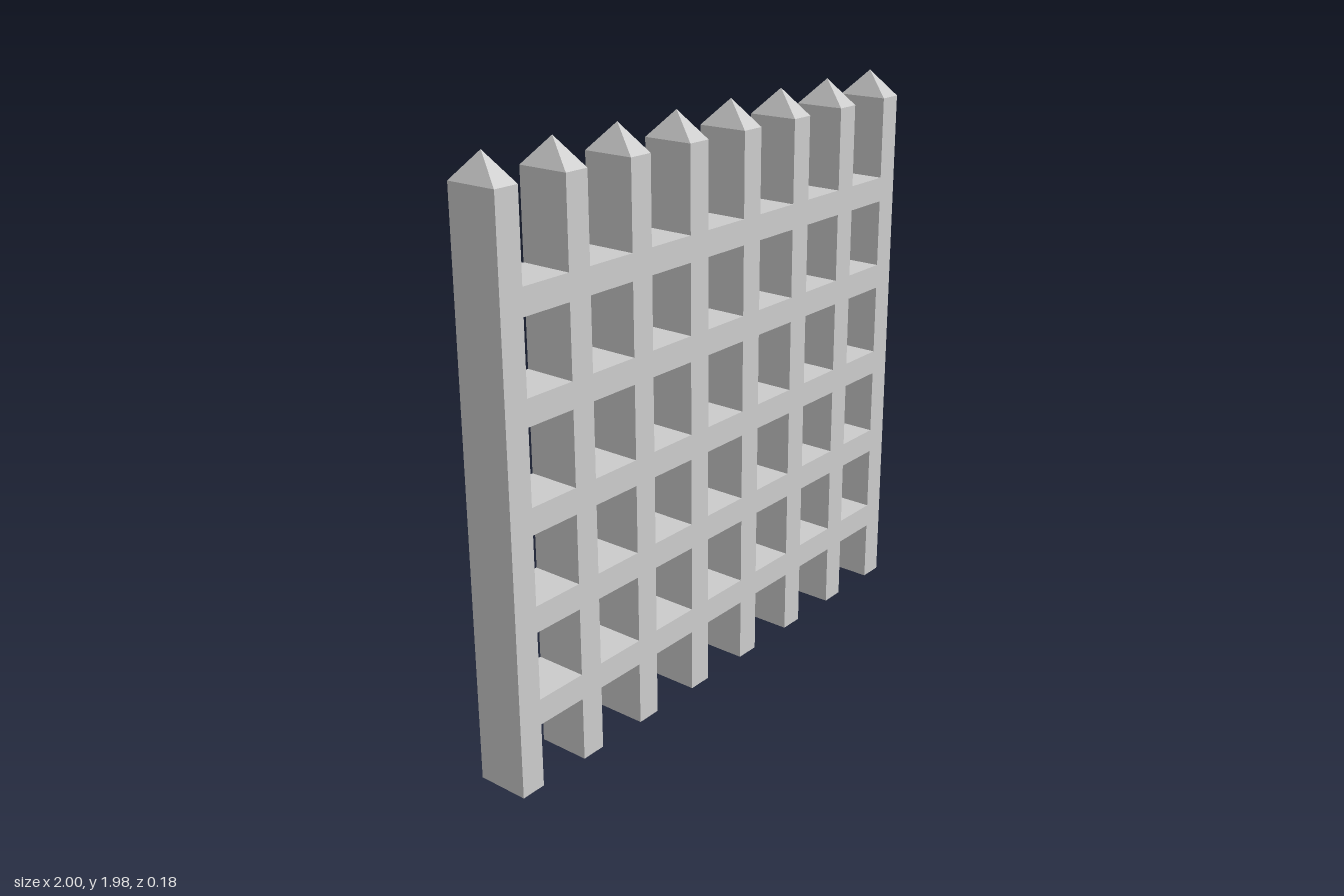
import * as THREE from 'three';

const POSTS = 8, POST_W = 0.088, DEPTH = 0.18;
const SHOULDER = 1.887, TIP = 1.976;
const RAIL_H = 0.087, RAIL_Y = [0.262, 0.578, 0.897, 1.233, 1.559];
const PITCH = (2 - POST_W) / (POSTS - 1);

export function createModel() {
  const group = new THREE.Group();
  group.name = 'portcullis';
  const material = new THREE.MeshStandardMaterial({ color: 0xcccccc, flatShading: true });

  const add = (parent, name, geometry, x, y) => {
    const mesh = new THREE.Mesh(geometry, material);
    mesh.name = name;
    mesh.position.set(x, y, 0);
    parent.add(mesh);
  };

  // Four-sided pyramid fitted to the post's rectangular section, open underneath
  const spikeGeo = new THREE.ConeGeometry(Math.SQRT1_2, TIP - SHOULDER, 4, 1, true);
  spikeGeo.rotateY(Math.PI / 4);
  spikeGeo.scale(POST_W, 1, DEPTH);

  const shaftGeo = new THREE.BoxGeometry(POST_W, SHOULDER, DEPTH);
  const railGeo = new THREE.BoxGeometry(PITCH - POST_W, RAIL_H, DEPTH);
  const postX = (i) => (i - (POSTS - 1) / 2) * PITCH;

  // Pointed vertical posts
  for (let i = 0; i < POSTS; i++) {
    const post = new THREE.Group();
    post.name = `post${i + 1}`;
    post.position.x = postX(i);
    add(post, 'shaft', shaftGeo, 0, SHOULDER / 2);
    add(post, 'spike', spikeGeo, 0, (SHOULDER + TIP) / 2);
    group.add(post);
  }

  // Horizontal rails, flush with the posts and filling the gaps between them
  RAIL_Y.forEach((y, r) => {
    const rail = new THREE.Group();
    rail.name = `rail${r + 1}`;
    for (let i = 0; i < POSTS - 1; i++) {
      add(rail, `railSegment${i + 1}`, railGeo, postX(i + 0.5), y);
    }
    group.add(rail);
  });

  return group;
}
